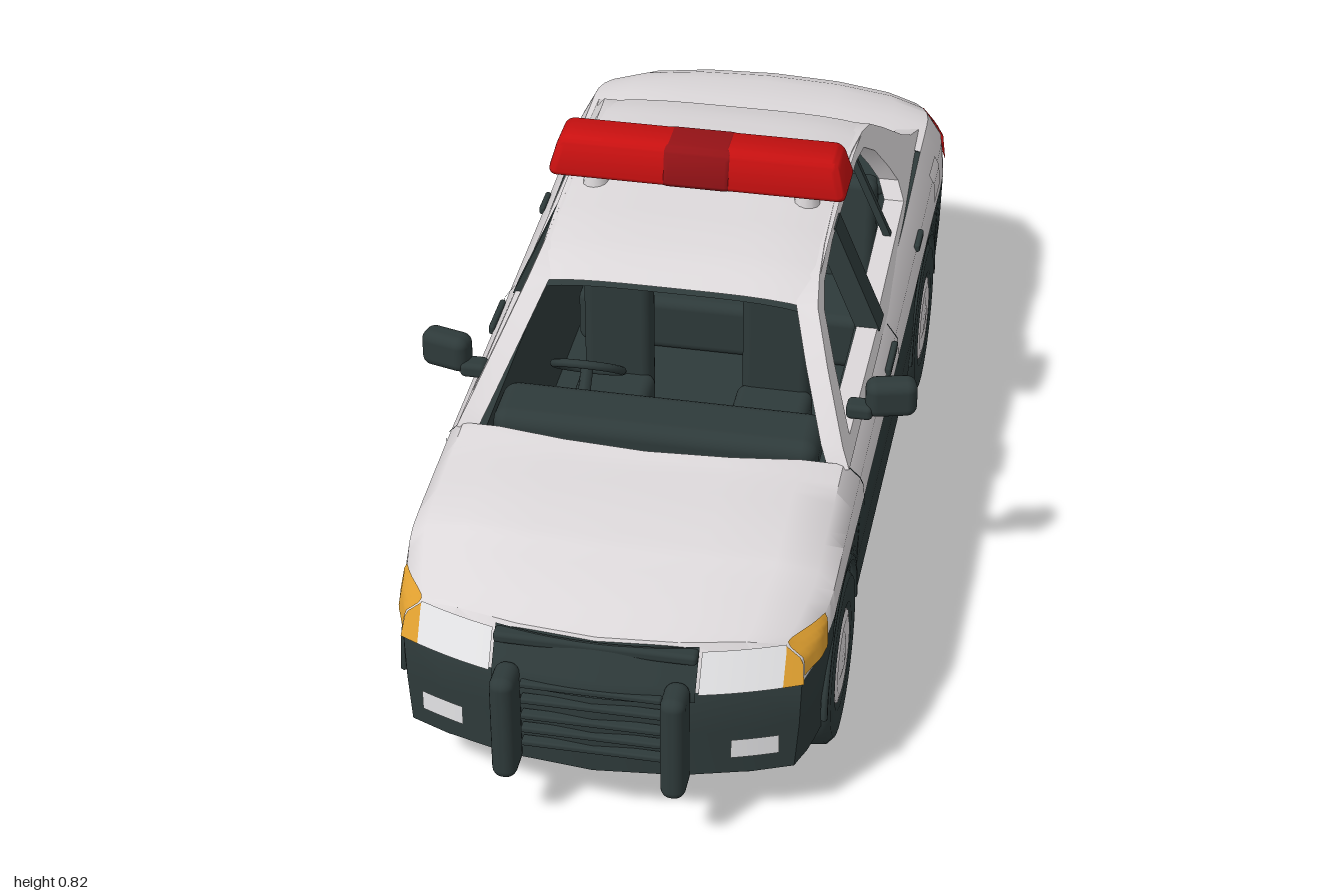
import * as THREE from 'three';
import { toCreasedNormals } from 'three/addons/utils/BufferGeometryUtils.js';
import { RoundedBoxGeometry } from 'three/addons/geometries/RoundedBoxGeometry.js';

const paint = (name, color) => new THREE.MeshStandardMaterial({ name, color, side: THREE.DoubleSide });
const white = paint('white paint', 0xdcd8da);
const dark = paint('dark paint', 0x2e3a3a);
const red = paint('red lens', 0xc81010);
const deepRed = paint('deep red lens', 0x951216);
const amber = paint('amber lens', 0xe0a030);
const clear = paint('clear lens', 0xe4e4e6);

const FRONT = 0.95, REAR = -1, WHEELS = [-0.53, 0.6];

// piecewise linear lookup in a list of [z, value]
function at(table, z) {
  if (z <= table[0][0]) return table[0][1];
  for (let i = 1; i < table.length; i++) {
    const [z0, a] = table[i - 1], [z1, b] = table[i];
    if (z <= z1) return a + (b - a) * (z - z0) / (z1 - z0);
  }
  return table[table.length - 1][1];
}
const WIDTH = [[-1, 0.35], [-0.96, 0.367], [-0.9, 0.382], [-0.8, 0.39], [0.7, 0.39], [0.8, 0.388], [0.9, 0.375], [0.95, 0.355]];
const TOP = [[-1, 0.49], [-0.95, 0.515], [-0.88, 0.525], [-0.75, 0.53], [-0.62, 0.525], [0.42, 0.478], [0.6, 0.467], [0.75, 0.452], [0.88, 0.425], [0.95, 0.392]];
const SHOULDER = [[-1, 0.465], [-0.95, 0.49], [-0.88, 0.502], [-0.75, 0.505], [-0.62, 0.5], [-0.4, 0.48], [0, 0.465], [0.42, 0.455], [0.6, 0.443], [0.75, 0.428], [0.88, 0.402], [0.95, 0.378]];
const SPLIT = [[-1, 0.35], [-0.8, 0.36], [0.7, 0.362], [0.82, 0.345], [0.95, 0.315]];
const ROOF = [[-0.46, 0.672], [-0.4, 0.69], [-0.3, 0.704], [-0.1, 0.712], [0.05, 0.704], [0.14, 0.692], [0.215, 0.668]];

function archY(z) {
  for (const c of WHEELS) if (Math.abs(z - c) < 0.1745) return 0.165 + Math.sqrt(0.178 ** 2 - (z - c) ** 2);
  return 0.13;
}

// half cross-section of the body, from bottom centre round to top centre
function section(z) {
  const w = at(WIDTH, z), top = at(TOP, z), sh = at(SHOULDER, z), split = at(SPLIT, z), arch = archY(z);
  const cabin = z > -0.64 && z < 0.4;
  return [
    [0, 0.13], [0.27, 0.13], [0.27, arch], [w - 0.01, arch], [w - 0.003, (arch + split) / 2], [w, split],
    [w - 0.005, split + 0.6 * (sh - split)], [w - 0.035, sh],
    ...(cabin ? [[0.31, sh], [0.3, 0.2], [0, 0.2]]
      : [[w * 0.72, sh + 0.7 * (top - sh)], [w * 0.4, sh + 0.95 * (top - sh)], [0, top]]),
  ];
}
function skinX(z, y) {
  return at(section(z).slice(3, 8).map(([x, py]) => [py, x]), y);
}
// rounds nose and tail in plan, leans them, and curves the cowl
function bend(z, x, y) {
  const u = (x / 0.39) ** 2;
  const f = THREE.MathUtils.smoothstep(z, 0.6, FRONT), r = THREE.MathUtils.smoothstep(-z, 0.7, 1);
  const cowl = y > 0.4 ? Math.max(0, 1 - Math.abs(z - 0.4) / 0.1) : 0;
  return z - f * (0.1 * u + 0.6 * Math.max(0, y - 0.315)) + r * (0.065 * u + 0.5 * Math.max(0, y - 0.35)) + cowl * 0.07 * (1 - u);
}

function bodyGeometry() {
  const zs = [-1, -0.985, -0.95, -0.9, -0.82, -0.75, -0.6401, -0.6399, -0.2, 0, 0.2, 0.3999, 0.4001, 0.82, 0.87, 0.91, 0.935, 0.95];
  for (const c of WHEELS) {
    zs.push(c - 0.1746, c + 0.1746);
    for (let k = -7; k <= 7; k++) zs.push(c + 0.1744 * Math.sin(k * Math.PI / 14));
  }
  zs.sort((a, b) => a - b);
  const pos = [], faces = [[], []];
  const put = (x, y, z) => pos.push(x, y, bend(z, x, y)) / 3 - 1;
  const quad = (m, a, b, c, d) => faces[m].push(a, b, c, a, c, d);
  const rings = zs.map((z) => {
    const half = section(z);
    return [...half, ...half.slice(0, 10).reverse().map(([x, y]) => [-x, y])].map(([x, y]) => put(x, y, z));
  });
  for (let s = 0; s + 1 < zs.length; s++) {
    const mid = (zs[s] + zs[s + 1]) / 2, inCabin = mid > -0.64005 && mid < 0.40005;
    for (let i = 0; i < 20; i++) {
      const row = i < 10 ? i : 19 - i;
      const m = row < 5 || (row >= 7 && inCabin) ? 1 : 0;
      quad(m, rings[s][i], rings[s][i + 1], rings[s + 1][i + 1], rings[s + 1][i]);
    }
  }
  // nose and tail faces
  for (const z of [REAR, FRONT]) {
    const half = section(z);
    const edge = [...half.slice(7), ...half.slice(7, 10).reverse().map(([x, y]) => [-x, y])];
    const grid = [3, 4, 5, 6].map((r) => edge.map(([x]) => put(x / half[7][0] * half[r][0], half[r][1], z)));
    grid.push(edge.map(([x, y]) => put(x, y, z)));
    for (let r = 0; r < 4; r++) for (let j = 0; j < 6; j++) {
      const q = [grid[r][j], grid[r + 1][j], grid[r + 1][j + 1], grid[r][j + 1]];
      quad(r < 2 ? 1 : 0, ...(z > 0 ? q : q.reverse()));
    }
  }
  const g = new THREE.BufferGeometry();
  g.setAttribute('position', new THREE.Float32BufferAttribute(pos, 3));
  g.setIndex([...faces[0], ...faces[1]]);
  g.addGroup(0, faces[0].length, 0);
  g.addGroup(faces[0].length, faces[1].length, 1);
  return toCreasedNormals(g, 0.65);
}

// rectangular sheet whose points come from fn(u, v)
function sheet(nu, nv, fn) {
  const g = new THREE.PlaneGeometry(1, 1, nu, nv), p = g.attributes.position;
  for (let i = 0; i < p.count; i++) p.setXYZ(i, ...fn(p.getX(i) + 0.5, p.getY(i) + 0.5));
  g.computeVertexNormals();
  return g;
}
// thin plates lying on the nose or tail, and on the flank
const endPatch = (z, x0, x1, y0, y1, off = 0.006) => sheet(10, 6, (u, v) => {
  const y = y0 + (y1 - y0) * v, x = Math.min(x0 + (x1 - x0) * u, skinX(z, y) + 0.004);
  return [x, y, bend(z, x, y) + Math.sign(z) * off];
});
const sidePatch = (z0, z1, y0, y1) => sheet(8, 6, (u, v) => {
  const z = z0 + (z1 - z0) * u, y = y0 + (y1 - y0) * v, x = skinX(z, y);
  return [x + 0.005, y, bend(z, x, y)];
});

// side-view outline extruded inward and leaned along the cabin side
function cabinPanel(points, holes, depth, out = 0) {
  const vec = (a) => a.map(([z, y]) => new THREE.Vector2(z, y));
  const shape = new THREE.Shape(vec(points));
  shape.holes = holes.map((h) => new THREE.Path(vec(h)));
  const g = new THREE.ExtrudeGeometry(shape, { depth, bevelEnabled: false }), p = g.attributes.position;
  for (let i = 0; i < p.count; i++) {
    const y = p.getY(i);
    p.setXYZ(i, 0.36 - (y - 0.465) * 0.45 + out - p.getZ(i), y, p.getX(i));
  }
  return toCreasedNormals(g, 0.6);
}

export function createModel() {
  const car = new THREE.Group();
  car.name = 'patrolCar';
  const add = (parent, name, geo, mat, x = 0, y = 0, z = 0) => {
    const m = new THREE.Mesh(geo, mat);
    m.name = name;
    m.position.set(x, y, z);
    parent.add(m);
    return m;
  };
  const block = (w, h, d, r = 0.01) => new RoundedBoxGeometry(w, h, d, 3, r);

  add(car, 'body', bodyGeometry(), [white, dark]);

  // roof and its lining
  const roof = (drop) => sheet(12, 20, (u, v) => {
    const s = u * 2 - 1, z = -0.46 + 0.675 * v, y = at(ROOF, z) - 0.014 * s ** 4 - drop;
    return [s * (0.264 - drop), y, z];
  });
  add(car, 'roof', roof(0), white);
  add(car, 'roofLining', roof(0.012), dark);

  // cabin interior
  add(car, 'dashboard', block(0.61, 0.14, 0.13, 0.03), dark, 0, 0.41, 0.345);
  add(car, 'parcelShelf', block(0.6, 0.03, 0.17), dark, 0, 0.5, -0.56);
  add(car, 'rearSeatBack', block(0.58, 0.33, 0.06, 0.02), dark, 0, 0.36, -0.46).rotation.x = -0.15;
  add(car, 'rearSeatCushion', block(0.58, 0.12, 0.2, 0.02), dark, 0, 0.26, -0.36);
  add(car, 'steeringWheel', new THREE.TorusGeometry(0.065, 0.008, 8, 24), dark, -0.16, 0.475, 0.22).rotation.x = 0.9;
  add(car, 'steeringColumn', new THREE.CylinderGeometry(0.012, 0.012, 0.1, 8), dark, -0.16, 0.445, 0.26).rotation.x = -0.67 + Math.PI;

  // nose and tail details
  add(car, 'grille', endPatch(FRONT, -0.18, 0.18, 0.3, 0.388, 0.007), dark);
  for (const y of [0.18, 0.21, 0.24, 0.275, 0.31]) add(car, 'grilleSlat', block(0.25, 0.012, 0.02, 0.004), dark, 0, y, 0.95);
  add(car, 'grilleTopBar', block(0.36, 0.022, 0.03, 0.008), dark, 0, 0.375, 0.905);
  add(car, 'plateRecess', endPatch(REAR, -0.13, 0.13, 0.375, 0.445), clear);
  add(car, 'exhaustPipe', new THREE.CylinderGeometry(0.016, 0.016, 0.09, 12), dark, -0.18, 0.135, -0.92).rotation.x = Math.PI / 2;
  add(car, 'fuelLid', sidePatch(-0.69, -0.61, 0.4, 0.465), white);

  // light bar
  const taper = (w, h, d) => {
    const g = block(w, h, d, 0.018), p = g.attributes.position;
    for (let i = 0; i < p.count; i++) {
      const t = p.getY(i) / h + 0.5;
      p.setX(i, p.getX(i) * (1 - (w > 0.3 ? 0.08 : 0) * t));
      p.setZ(i, p.getZ(i) * (1 - 0.3 * t));
    }
    g.computeVertexNormals();
    return toCreasedNormals(g, 0.7);
  };
  add(car, 'lightBar', taper(0.58, 0.08, 0.125), red, 0, 0.78, -0.075);
  add(car, 'lightBarCentre', taper(0.145, 0.081, 0.129), deepRed, 0, 0.78, -0.075);

  const wheelTyre = new THREE.LatheGeometry([[0, -0.03], [0.09, -0.04], [0.1, -0.055], [0.148, -0.055], [0.162, -0.042], [0.165, -0.02],
    [0.165, 0.02], [0.162, 0.042], [0.148, 0.055], [0.1, 0.055], [0.085, 0.045]].map(([r, a]) => new THREE.Vector2(r, a)), 32);
  const wheelCap = new THREE.LatheGeometry([[0.09, 0.045], [0.086, 0.053], [0.07, 0.056], [0.045, 0.053], [0.025, 0.057], [0, 0.058]]
    .map(([r, a]) => new THREE.Vector2(r, a)), 28);

  const outline = [[0.42, 0.45], [0.4, 0.485], [0.3, 0.587], [0.215, 0.66], [0.14, 0.68], [0.05, 0.692], [-0.1, 0.7], [-0.3, 0.692],
    [-0.4, 0.678], [-0.46, 0.662], [-0.52, 0.622], [-0.61, 0.556], [-0.66, 0.528], [-0.72, 0.508], [-0.72, 0.46]];
  const frontWindow = [[0.345, 0.475], [0.26, 0.572], [0.19, 0.64], [0.13, 0.662], [0, 0.673], [-0.035, 0.673], [-0.015, 0.475]];
  const rearWindow = [[-0.065, 0.485], [-0.085, 0.673], [-0.3, 0.67], [-0.37, 0.66], [-0.42, 0.625], [-0.455, 0.57], [-0.472, 0.53], [-0.45, 0.495]];

  // everything that is the same on both flanks
  for (const side of [1, -1]) {
    const half = new THREE.Group();
    half.name = side > 0 ? 'leftSide' : 'rightSide';
    half.scale.x = side;
    car.add(half);
    add(half, 'windowFrame', cabinPanel(outline, [frontWindow, rearWindow], 0.04), white);
    add(half, 'centrePillar', cabinPanel([[-0.01, 0.47], [-0.03, 0.678], [-0.088, 0.678], [-0.068, 0.47]], [], 0.046, 0.003), dark);
    add(half, 'quarterWindowBar', cabinPanel([[-0.318, 0.48], [-0.325, 0.675], [-0.338, 0.675], [-0.334, 0.48]], [], 0.015, -0.01), dark);
    add(half, 'frontSeatBack', block(0.135, 0.38, 0.055, 0.02), dark, 0.157, 0.395, -0.05);
    add(half, 'frontSeatCushion', block(0.15, 0.1, 0.2, 0.02), dark, 0.157, 0.25, 0.06);
    add(half, 'headlight', endPatch(FRONT, 0.185, 0.325, 0.315, 0.38), clear);
    add(half, 'frontIndicator', endPatch(FRONT, 0.325, 0.4, 0.315, 0.378), amber);
    add(half, 'sideIndicator', sidePatch(0.86, FRONT, 0.327, 0.382), amber);
    add(half, 'fogLight', endPatch(FRONT, 0.24, 0.32, 0.17, 0.21), clear);
    add(half, 'tailLight', endPatch(REAR, 0.21, 0.4, 0.36, 0.45), red);
    add(half, 'tailLightWrap', sidePatch(REAR, -0.9, 0.365, 0.455), red);
    add(half, 'pushBar', block(0.045, 0.22, 0.075, 0.02), dark, 0.15, 0.232, 0.9625);
    add(half, 'mirror', block(0.095, 0.075, 0.05, 0.02), dark, 0.42, 0.515, 0.265).rotation.y = 0.25;
    add(half, 'mirrorStalk', block(0.05, 0.03, 0.04), dark, 0.365, 0.49, 0.28);
    add(half, 'lightBarFoot', new THREE.CylinderGeometry(0.018, 0.026, 0.05, 12), white, 0.205, 0.722, -0.075);
    add(half, 'frontDoorHandle', block(0.012, 0.02, 0.1, 0.005), dark, 0.388, 0.425, 0.012);
    add(half, 'rearDoorHandle', block(0.012, 0.018, 0.065, 0.005), dark, 0.386, 0.437, -0.4);
    for (const z of [0.4, -0.06]) add(half, 'doorSeam', sidePatch(z - 0.002, z + 0.002, 0.362, 0.455), dark);
    for (const z of WHEELS) {
      const wheel = new THREE.Group();
      wheel.name = z > 0 ? 'frontWheel' : 'rearWheel';
      wheel.position.set(0.335, 0.165, z);
      wheel.rotation.z = -Math.PI / 2;
      add(wheel, 'tyre', wheelTyre, dark);
      add(wheel, 'hubCap', wheelCap, white);
      half.add(wheel);
      add(half, 'archLip', new THREE.TorusGeometry(0.18, 0.007, 6, 24, Math.PI), dark, 0.383, 0.165, z).rotation.y = Math.PI / 2;
    }
  }
  return car;
}
